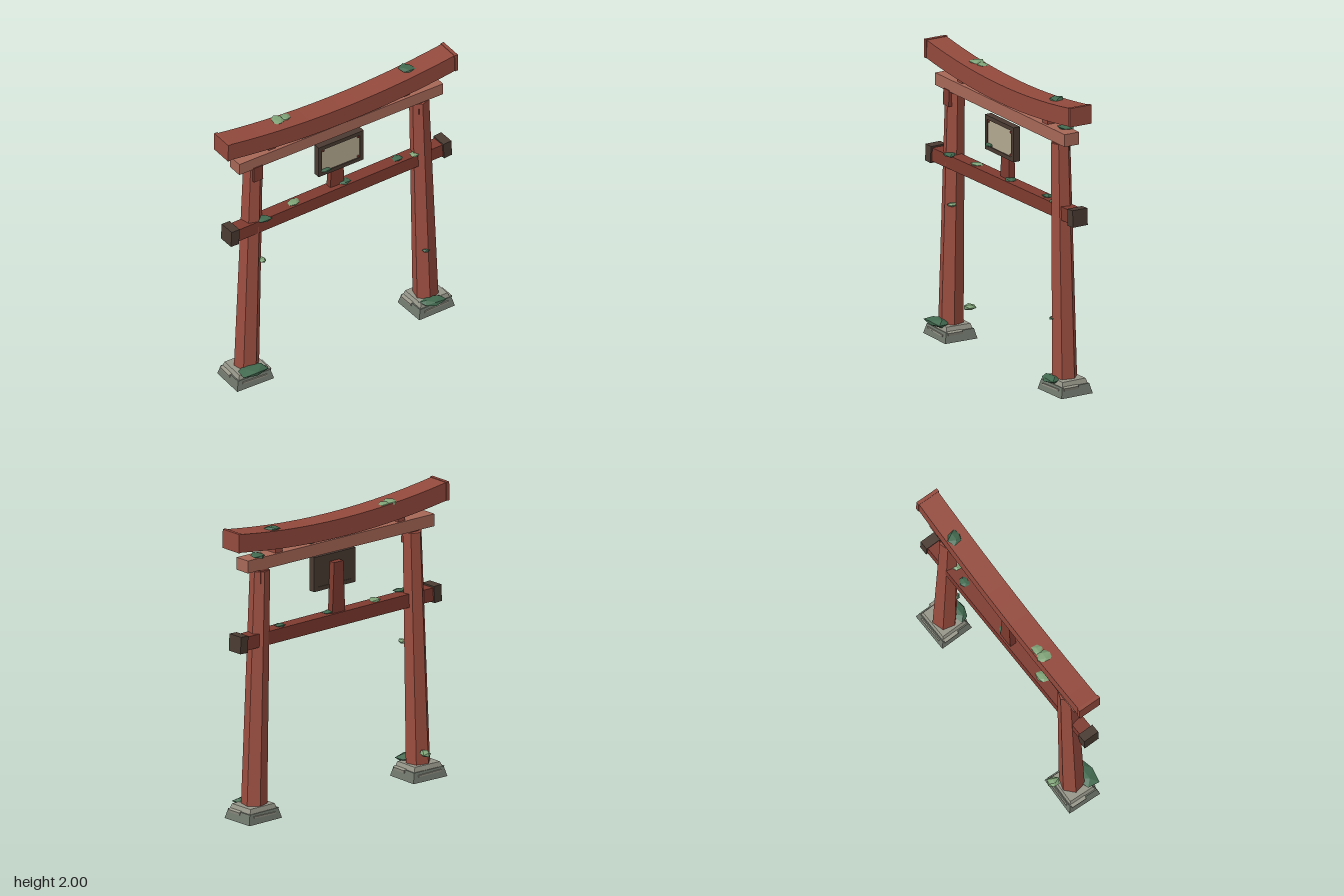
import * as THREE from 'three';

const mat = (color) => new THREE.MeshStandardMaterial({ color, flatShading: true });
const M = {
  post: mat(0x9c4e40), roof: mat(0x944a3d), tie: mat(0xa86858), rail: mat(0x7f3b30),
  dark: mat(0x4a3b32), panel: mat(0xb5aa92), stone: mat(0x6f766b), stoneTop: mat(0x98978a),
  moss: mat(0x41694f), leaf: mat(0x7fa377),
};

function add(parent, name, geometry, material, x = 0, y = 0, z = 0) {
  const mesh = new THREE.Mesh(geometry, material);
  mesh.name = name;
  mesh.position.set(x, y, z);
  parent.add(mesh);
  return mesh;
}

// Box whose top is scaled in x and z
function block(w, h, d, tx = 1, tz = tx) {
  const g = new THREE.BoxGeometry(w, h, d);
  const p = g.attributes.position;
  for (let i = 0; i < p.count; i++) {
    if (p.getY(i) > 0) p.setXYZ(i, p.getX(i) * tx, p.getY(i), p.getZ(i) * tz);
  }
  g.computeVertexNormals();
  return g;
}

// Flattened irregular clump
function clump(rx, ry, rz, seed) {
  const g = new THREE.IcosahedronGeometry(1, 0);
  const p = g.attributes.position;
  for (let i = 0; i < p.count; i++) {
    const x = p.getX(i), y = p.getY(i), z = p.getZ(i);
    const k = 1 + 0.16 * Math.sin(x * 5.1 + y * 7.3 + z * 9.7 + seed * 2.3);
    p.setXYZ(i, x * k * rx, y * k * ry, z * k * rz);
  }
  g.computeVertexNormals();
  return g;
}

// Tapered, leaning six-sided post
function postGeometry(side) {
  const h = 1.6;
  const g = new THREE.CylinderGeometry(0.067, 0.086, h, 6, 1);
  g.rotateY(side * 0.3 + Math.PI / 6);
  const p = g.attributes.position;
  for (let i = 0; i < p.count; i++) {
    const t = p.getY(i) / h + 0.5;
    p.setX(i, p.getX(i) + side * (0.705 - 0.05 * t));
  }
  g.computeVertexNormals();
  return g;
}

// Upward-curving top beam
function roofGeometry() {
  const L = 0.89, n = 14, shape = new THREE.Shape();
  const curve = (x) => 0.068 * (x / 0.9) ** 2;
  for (let i = 0; i <= n; i++) {
    const x = -L + (2 * L * i) / n;
    if (i) shape.lineTo(x, 1.805 + curve(x));
    else shape.moveTo(x, 1.805 + curve(x));
  }
  for (let i = n; i >= 0; i--) {
    const x = -L + (2 * L * i) / n;
    shape.lineTo(x, 1.93 + curve(x));
  }
  const g = new THREE.ExtrudeGeometry(shape, { depth: 0.154, bevelEnabled: false });
  g.translate(0, 0, -0.077);
  return g;
}

export function createModel() {
  const root = new THREE.Group();
  root.name = 'gate';
  const frame = new THREE.Group();
  frame.name = 'frame';
  frame.position.z = -0.018;
  frame.rotation.y = 0.021;
  root.add(frame);

  // Top beam with end plates
  add(frame, 'topBeam', roofGeometry(), M.roof);
  for (const s of [-1, 1]) {
    const plate = add(frame, 'topBeamEnd', new THREE.BoxGeometry(0.024, 0.128, 0.166), M.roof, s * 0.893, 1.935, 0);
    plate.rotation.z = s * 0.02;
  }

  // Second beam and spacer blocks
  add(frame, 'tieBeam', new THREE.BoxGeometry(1.605, 0.085, 0.112), M.tie, 0, 1.748, 0.005);
  for (const x of [-0.53, 0, 0.525]) {
    add(frame, 'spacer', new THREE.BoxGeometry(0.058, 0.06, 0.08), M.roof, x, x ? 1.81 : 1.79, 0);
  }

  for (const s of [-1, 1]) {
    // Posts and the brackets at their heads
    add(frame, 'post', postGeometry(s), M.post, 0, 0.892, 0);
    add(frame, 'postBracket', block(0.072, 0.11, 0.1, 0.95), M.rail, s * 0.656, 1.66, s < 0 ? 0.02 : 0);

    // Stepped stone footing with chipped slabs
    const base = new THREE.Group();
    base.name = 'footing';
    base.position.set(s * 0.712, 0, 0);
    base.rotation.y = s * 0.025;
    frame.add(base);
    add(base, 'footingStone', block(0.285, 0.068, 0.245, 0.88, 0.86), M.stone, 0, 0.034, 0);
    add(base, 'footingTop', block(0.235, 0.034, 0.2, 0.9), M.stoneTop, 0, 0.083, 0);
    for (const f of [-1, 1]) {
      const chip = add(base, 'stoneChip', new THREE.BoxGeometry(0.19, 0.012, 0.02), M.stoneTop, 0, 0.045, f * 0.108);
      chip.rotation.z = 0.03 * s;
      const slab = add(base, 'stoneSlab', new THREE.BoxGeometry(0.03, 0.02, 0.11), M.stoneTop, f * 0.122, 0.06, f * 0.04);
      slab.rotation.z = -f * 0.25;
    }
  }

  // Lower rail, set slightly askew, with capped ends
  const rail = new THREE.Group();
  rail.name = 'lowerRail';
  rail.position.set(-0.002, 1.226, -0.009);
  rail.rotation.y = 0.044;
  root.add(rail);
  add(rail, 'railBeam', new THREE.BoxGeometry(1.69, 0.092, 0.092), M.rail);
  for (const s of [-1, 1]) {
    const cap = add(rail, 'railCap', new THREE.BoxGeometry(0.064, 0.115, 0.115), M.dark, s * 0.85, 0.001, 0);
    cap.rotation.z = s * 0.05;
  }

  // Sign board on its stem
  const sign = new THREE.Group();
  sign.name = 'sign';
  sign.position.set(-0.003, 1.553, 0.04);
  frame.add(sign);
  add(sign, 'signStem', block(0.11, 0.35, 0.045, 0.72, 1), M.rail, 0, -0.11, -0.042);
  add(sign, 'signBack', new THREE.BoxGeometry(0.34, 0.22, 0.03), M.dark, 0, 0, -0.006);
  add(sign, 'signPanel', new THREE.BoxGeometry(0.3, 0.185, 0.012), M.panel, 0, 0, 0.012);
  for (const s of [-1, 1]) {
    add(sign, 'frameRail', new THREE.BoxGeometry(0.355, 0.028, 0.05), M.dark, 0, s * 0.104, 0);
    add(sign, 'frameStile', new THREE.BoxGeometry(0.028, 0.236, 0.05), M.dark, s * 0.1635, 0, 0);
    for (const t of [-1, 1]) {
      const nail = add(sign, 'nail', new THREE.CylinderGeometry(0.008, 0.008, 0.01, 6), M.rail, s * 0.138, t * 0.078, 0.02);
      nail.rotation.x = Math.PI / 2;
    }
  }

  // Moss clumps: position, radii, light or dark
  const moss = [
    [-0.715, 0.11, 0.095, 0.11, 0.03, 0.075, 0],
    [-0.668, 0.19, -0.125, 0.04, 0.025, 0.045, 1],
    [0.695, 0.097, 0.07, 0.09, 0.022, 0.055, 0],
    [-0.44, 1.945, -0.04, 0.05, 0.018, 0.055, 1],
    [-0.38, 1.942, -0.05, 0.042, 0.012, 0.04, 1],
    [0.57, 1.961, -0.05, 0.05, 0.016, 0.055, 0],
    [0.69, 1.8, -0.05, 0.058, 0.015, 0.055, 0],
    [0.23, 1.793, -0.03, 0.038, 0.01, 0.035, 0],
    [-0.61, 1.278, 0.065, 0.052, 0.012, 0.042, 0],
    [-0.35, 1.277, 0.01, 0.05, 0.012, 0.04, 1],
    [0.05, 1.277, -0.01, 0.05, 0.012, 0.04, 0],
    [0.485, 1.277, -0.03, 0.04, 0.012, 0.035, 0],
    [0.605, 1.277, -0.01, 0.037, 0.012, 0.035, 1],
    [-0.125, 1.474, 0.05, 0.042, 0.01, 0.024, 0],
    [-0.612, 0.933, 0.045, 0.027, 0.017, 0.035, 1],
    [0.665, 0.498, 0.035, 0.028, 0.012, 0.024, 0],
  ];
  moss.forEach(([x, y, z, rx, ry, rz, light], i) => {
    add(root, 'moss', clump(rx, ry, rz, i), light ? M.leaf : M.moss, x, y, z);
  });

  return root;
}
